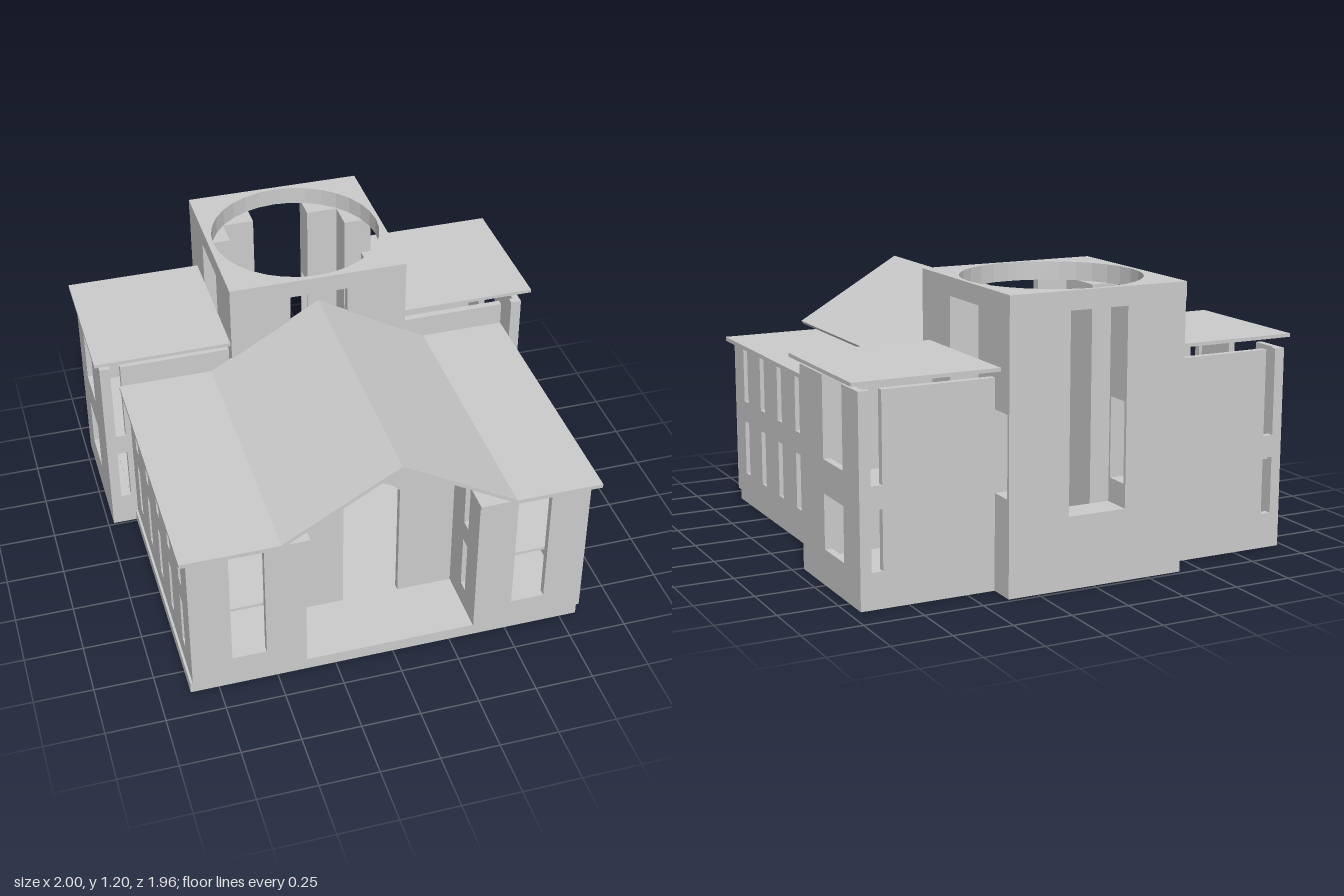
import * as THREE from 'three';

const material = new THREE.MeshStandardMaterial({ color: 0xcccccc, flatShading: true, side: THREE.DoubleSide });

export function createModel() {
  const model = new THREE.Group();

  const add = (name, geometry) => {
    const mesh = new THREE.Mesh(geometry, material);
    mesh.name = name;
    model.add(mesh);
    return mesh;
  };

  // Box given by its limits
  const block = (name, x0, x1, y0, y1, z0, z1) => {
    const mesh = add(name, new THREE.BoxGeometry(x1 - x0, y1 - y0, z1 - z0));
    mesh.position.set((x0 + x1) / 2, (y0 + y1) / 2, (z0 + z1) / 2);
    return mesh;
  };

  const extrude = (shape, depth) =>
    new THREE.ExtrudeGeometry(shape, { depth, bevelEnabled: false, curveSegments: 16 });

  const polygon = (points) => new THREE.Shape(points.map(([x, y]) => new THREE.Vector2(x, y)));

  // Wall outline; openings [u0, u1, v0, v1] that reach the top become notches
  const wallShape = (u0, u1, v0, v1, openings) => {
    const points = [[u0, v0], [u1, v0], [u1, v1]];
    const notches = openings.filter((o) => o[3] >= v1).sort((a, b) => b[0] - a[0]);
    for (const [a, b, c] of notches) points.push([b, v1], [b, c], [a, c], [a, v1]);
    points.push([u0, v1]);
    const shape = polygon(points);
    for (const [a, b, c, d] of openings.filter((o) => o[3] < v1)) {
      shape.holes.push(polygon([[a, c], [a, d], [b, d], [b, c]]));
    }
    return shape;
  };

  // Wall facing z, between z0 and z0 + t
  const wallZ = (name, x0, x1, y0, y1, z0, t, openings = []) => {
    add(name, extrude(wallShape(x0, x1, y0, y1, openings), t)).position.z = z0;
  };

  // Wall facing x, between x0 and x0 + t
  const wallX = (name, z0, z1, y0, y1, x0, t, openings = []) => {
    const mesh = add(name, extrude(wallShape(z0, z1, y0, y1, openings), t));
    mesh.rotation.y = -Math.PI / 2;
    mesh.position.x = x0 + t;
  };

  // Foundation
  block('foundation', -0.87, 0.825, 0, 0.052, -0.86, 0.875);
  block('towerFoundation', -0.405, 0.38, 0, 0.052, -0.98, -0.86);

  // Side wings with rows of tall narrow windows on two storeys
  const T = 0.03;
  const slits = (count) => Array.from({ length: count }, (_, i) => 0.735 - i * 0.216)
    .flatMap((z) => [[z - 0.026, z + 0.026, 0.15, 0.395], [z - 0.026, z + 0.026, 0.49, 0.735]]);
  const wings = [
    { side: 'right', x0: -0.86, x1: -0.375, w0: -0.69, w1: -0.545, r0: -0.895, r1: -0.37, innerSlits: 5 },
    { side: 'left', x0: 0.355, x1: 0.835, w0: 0.52, w1: 0.665, r0: 0.335, r1: 0.857, innerSlits: 1 },
  ];
  for (const { side, x0, x1, w0, w1, r0, r1, innerSlits } of wings) {
    const isLeft = side === 'left';
    const outer = isLeft ? x1 - T : x0;
    const inner = isLeft ? x0 : x1 - T;
    wallX(side + 'WingOuterWall', -0.26, 0.88, 0.052, 0.735, outer, T, slits(5));
    wallX(side + 'WingInnerWall', -0.2, 0.88, 0.052, 0.735, inner, T, slits(innerSlits));
    wallZ(side + 'WingFrontWall', x0 + T, x1 - T, 0.052, 0.735, 0.88 - T, T, [[w0, w1, 0.15, 0.735]]);
    block(side + 'WingUpperFloor', x0 + T, x1 - T, 0.382, 0.395, -0.26, 0.85);
    block(side + 'WingRoof', r0, r1, 0.742, 0.76, -0.26, 0.937);
    // Clerestory between the wing roof and the nave roof
    block(side + 'NaveUpperWall', inner, inner + T, 0.735, 0.83, -0.2, 0.57);
  }

  // Recessed gable front with an arched doorway
  const gable = polygon([[-0.375, 0.052], [-0.13, 0.052], [-0.13, 0.61]]);
  gable.quadraticCurveTo(-0.08, 0.67, -0.008, 0.672);
  gable.quadraticCurveTo(0.065, 0.67, 0.115, 0.61);
  for (const [x, y] of [[0.115, 0.052], [0.355, 0.052], [0.355, 0.84], [-0.013, 1.055], [-0.375, 0.84]]) {
    gable.lineTo(x, y);
  }
  add('gableWall', extrude(gable, T)).position.z = 0.545;

  // Pitched nave roof
  const naveRoof = polygon([
    [-0.488, 0.785], [-0.013, 1.06], [0.462, 0.785], [0.47, 0.798], [-0.013, 1.077], [-0.496, 0.798],
  ]);
  add('naveRoof', extrude(naveRoof, 1.185)).position.z = -0.21;

  // Transepts with large end windows, slit windows and flat roofs lifted clear of the walls
  const endWindows = [[-0.7, -0.5, 0.15, 0.38], [-0.7, -0.5, 0.52, 0.86]];
  const transepts = [
    { side: 'right', x0: -0.975, x1: -0.405, s0: -0.93, s1: -0.885, roof: [-1, -0.405, 0.905, 0.92, -0.865, -0.22] },
    { side: 'left', x0: 0.38, x1: 0.952, s0: 0.857, s1: 0.905, roof: [0.38, 1, 0.893, 0.908, -0.91, -0.267] },
  ];
  for (const { side, x0, x1, s0, s1, roof } of transepts) {
    const slit = [[s0, s1, 0.15, 0.395], [s0, s1, 0.49, 0.86]];
    const isLeft = side === 'left';
    const a = isLeft ? x0 : x0 + T;
    const b = isLeft ? x1 - T : x1;
    wallX(side + 'TranseptEndWall', -0.86, -0.26, 0, 0.86, isLeft ? x1 - T : x0, T, endWindows);
    wallZ(side + 'TranseptFrontWall', a, b, 0, 0.86, -0.26 - T, T, slit);
    wallZ(side + 'TranseptBackWall', a, b, 0, 0.86, -0.86, T, slit);
    block(side + 'TranseptFloor', a, b, 0, 0.05, -0.83, -0.29);
    block(side + 'TranseptUpperFloor', a, b, 0.38, 0.395, -0.83, -0.29);
    block(side + 'TranseptRoof', ...roof);
  }

  // Tower with tall openings on every side
  const top = 1.12;
  const sideOpening = [[-0.72, -0.46, 0.052, top]];
  wallX('towerRightWall', -0.86, -0.2, 0.052, top, -0.405, 0.125, sideOpening);
  wallX('towerLeftWall', -0.86, -0.2, 0.052, top, 0.255, 0.125, sideOpening);
  wallZ('towerFrontWall', -0.28, 0.255, 0.052, top, -0.24, 0.04, [[-0.14, 0.115, 0.052, top]]);

  // Hollow back wall: two skins joined by solid bands above and below a passage
  const backOpening = [[-0.14, 0.115, 0.3, top]];
  wallZ('towerBackWall', -0.405, 0.38, 0.052, top, -0.98, 0.015, backOpening);
  wallZ('towerBackInnerWall', -0.28, 0.255, 0.052, top, -0.86, 0.01, backOpening);
  wallZ('towerBackLowerCore', -0.405, 0.38, 0.052, 0.4, -0.965, 0.105, [[-0.14, 0.115, 0.3, 0.4]]);
  for (const [x0, x1] of [[-0.405, -0.14], [0.115, 0.38]]) {
    block('towerBackUpperCore', x0, x1, 0.735, top, -0.965, -0.86);
  }

  // Square tower cap with a round opening
  const cap = polygon([[-0.405, 0.2], [0.38, 0.2], [0.38, 0.985], [-0.405, 0.985]]);
  cap.holes.push(new THREE.Path().absarc(-0.01, 0.593, 0.373, 0, Math.PI * 2, true));
  const capMesh = add('towerCap', extrude(cap, 0.078));
  capMesh.rotation.x = -Math.PI / 2;
  capMesh.position.y = top;

  return model;
}
